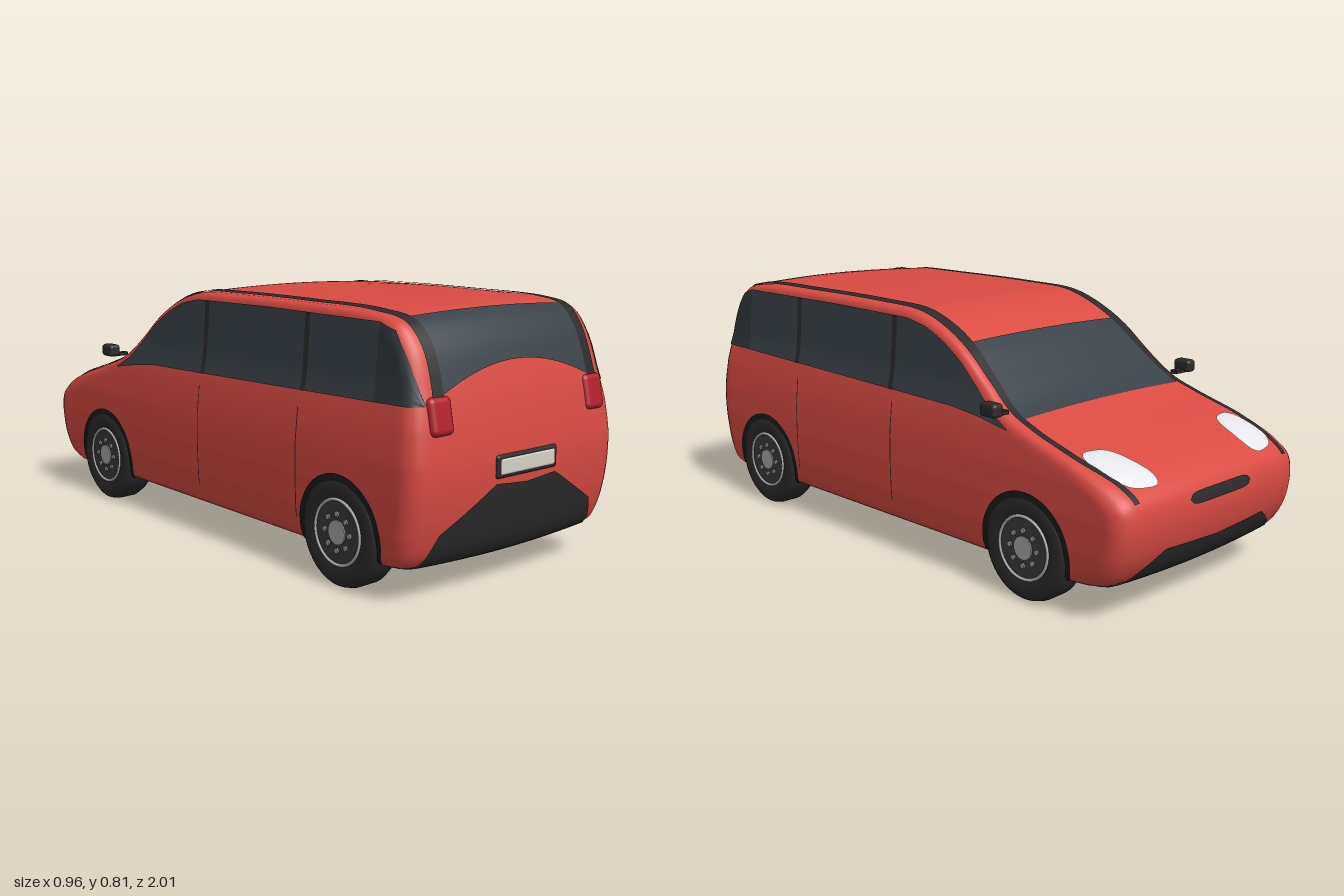
import * as THREE from 'three';
import { RoundedBoxGeometry } from 'three/addons/geometries/RoundedBoxGeometry.js';

const RED = 0xd94b42, BLACK = 0x2b2b2b, FLOOR = 0x1c1c1c, GLASS = 0x3a4249;
const { clamp, smoothstep, lerp } = THREE.MathUtils;

// Piecewise linear lookup in [key, value] pairs
function tab(pairs, k) {
  for (let i = 1; i < pairs.length; i++) {
    const [a, b] = [pairs[i - 1], pairs[i]];
    if (k <= b[0]) return lerp(a[1], b[1], clamp((k - a[0]) / (b[0] - a[0]), 0, 1));
  }
  return pairs[pairs.length - 1][1];
}

// Closed side outline (z, y): under the nose, hood, windscreen, roof, tail, floor
const OUTLINE = [
  [-.86, .09], [-.93, .115], [-.98, .19], [-1, .29], [-.985, .365], [-.93, .41], [-.8, .46],
  [-.62, .515], [-.52, .555], [-.42, .63], [-.32, .71], [-.22, .765], [-.1, .803], [.1, .812],
  [.45, .813], [.75, .807], [.86, .785], [.92, .72], [.965, .6], [.99, .48], [1, .36],
  [.985, .22], [.95, .12], [.91, .09], [.5, .09], [.1, .09], [-.3, .09], [-.6, .09]];
const N = OUTLINE.length;
const outline = new THREE.CatmullRomCurve3(OUTLINE.map(([z, y]) => new THREE.Vector3(0, y, z)), true);
const NOSE = 3, TAIL = 20, TAIL_BOTTOM = 23;

// Half width by height, and radius of the long edges
const WIDTH = [[.09, .41], [.12, .42], [.2, .428], [.3, .431], [.4, .43], [.5, .42], [.55, .41],
  [.6, .40], [.7, .392], [.81, .385]];
const halfWidth = y => tab(WIDTH, y);
const edgeRadius = z => .025 + .035 * smoothstep(Math.abs(z), .75, 1);

// Point on the crowned wrap-around skin; i in outline points, u from -1 to 1 across
function band(i, u, off = 0) {
  const t = (((i / N) % 1) + 1) % 1;
  const p = outline.getPoint(t), d = outline.getTangent(t);
  const n = new THREE.Vector3(0, d.z, -d.y);
  p.addScaledVector(n, off - .012 * u * u);
  p.x = u * (halfWidth(p.y) - edgeRadius(p.z));
  return p;
}

// Outline position between a and b where a coordinate takes a value
function find(axis, value, a, b) {
  const rising = outline.getPoint(b / N)[axis] > outline.getPoint(a / N)[axis];
  for (let k = 0; k < 24; k++) {
    const m = (a + b) / 2;
    if ((outline.getPoint(m / N)[axis] < value) === rising) a = m; else b = m;
  }
  return a;
}
const atZ = z => find('z', z, NOSE, TAIL);
const atTailY = y => find('y', y, 15, TAIL_BOTTOM);

// Point on the flank, rounded off towards the outline
const LOOP = N * 12;
const rim = Array.from({ length: LOOP }, (_, i) => band(i / 12, 1));
function flank(z, y, s, off = 0) {
  let d = Infinity;
  for (const p of rim) d = Math.min(d, Math.hypot(p.z - z, p.y - y));
  const r = edgeRadius(z), k = 1 - Math.min(d / r, 1);
  return new THREE.Vector3(s * (halfWidth(y) - r + r * Math.sqrt(1 - k * k) + off), y, z);
}

function mesh(parent, name, geometry, color, side = THREE.FrontSide) {
  const m = new THREE.Mesh(geometry, new THREE.MeshStandardMaterial({ color, side }));
  m.name = name;
  parent.add(m);
  return m;
}

// Smooth sheet from a rule fn(u, v) with u, v in 0..1
function sheet(parent, name, nu, nv, color, fn) {
  const pos = [], idx = [];
  for (let j = 0; j <= nv; j++) for (let i = 0; i <= nu; i++) {
    pos.push(...fn(i / nu, j / nv).toArray());
    if (i < nu && j < nv) {
      const a = j * (nu + 1) + i, b = a + nu + 1;
      idx.push(a, a + 1, b, b, a + 1, b + 1);
    }
  }
  const g = new THREE.BufferGeometry();
  g.setAttribute('position', new THREE.Float32BufferAttribute(pos, 3));
  g.setIndex(idx);
  g.computeVertexNormals();
  return mesh(parent, name, g, color, THREE.DoubleSide);
}

function buildBody(g) {
  // Shell: flank rings from the spine to the edge, across the top, down the other flank
  const steps = [.004, .012, .025, .045, .065], inner = 9, across = 16;
  const rings = steps.length + inner, total = 2 * rings + across;
  const flankPoint = (j, k, s) => {
    const p = rim[j % LOOP];
    const tz = clamp(p.z, -.72, .72), ty = .3;
    const len = Math.hypot(p.z - tz, p.y - ty), last = steps[4] / len;
    const f = k <= 5 ? steps[k - 1] / len : last + (1 - last) * (k - 5) / inner;
    return flank(lerp(p.z, tz, f), lerp(p.y, ty, f), s);
  };
  sheet(g, 'bodyShell', total, LOOP, RED, (u, v) => {
    const i = Math.round(u * total), j = Math.round(v * LOOP);
    if (i < rings) return flankPoint(j, rings - i, -1);
    if (i > rings + across) return flankPoint(j, i - rings - across, 1);
    return band(j / 12, (i - rings) / across * 2 - 1);
  });

  // Dark underside with raised front and rear skirts
  sheet(g, 'floor', 8, 60, FLOOR, (u, v) => band(lerp(22.7, N + .3, v), u * 2 - 1, .003));
  const rearTop = [[0, .31], [.13, .32], [.34, .2], [.385, .1]];
  sheet(g, 'rearSkirt', 48, 12, BLACK, (u, v) => {
    const x = (u * 2 - 1) * .385;
    return band(lerp(TAIL_BOTTOM, atTailY(tab(rearTop, Math.abs(x))), v), x / .385, .004);
  });
  const frontTop = [[0, .2], [.25, .21], [.34, .15], [.385, .1]];
  sheet(g, 'frontSkirt', 48, 10, BLACK, (u, v) => {
    const x = (u * 2 - 1) * .385;
    return band(lerp(0, find('y', tab(frontTop, Math.abs(x)), 0, NOSE), v), x / .385, .004);
  });
  sheet(g, 'grilleSlot', 24, 4, BLACK, (u, v) => {
    const h = .018 * Math.pow(1 - Math.pow(Math.abs(u * 2 - 1), 8), .5);
    return band(find('y', .335 + (v * 2 - 1) * h, 2, 5), (u * 2 - 1) * .4, .004);
  });

  // Windscreen and rear window
  const w0 = atZ(-.56), w1 = atZ(-.3);
  sheet(g, 'windscreen', 16, 24, GLASS, (u, v) => band(lerp(w0, w1, v), (u * 2 - 1) * .94, .003));
  const r0 = atZ(.84);
  sheet(g, 'rearWindow', 24, 20, GLASS, (u, v) => {
    const x = u * 2 - 1;
    return band(lerp(r0, atTailY(.655 - .07 * x * x), v), x * .9, .003);
  });

  for (const s of [1, -1]) {
    // Black trim from nose corner over the roof edge to the tail light
    const t0 = find('y', .37, NOSE, 6), t1 = atTailY(.56);
    sheet(g, 'roofTrim', 3, 130, BLACK, (u, v) => {
      const i = lerp(t0, t1, v), wide = lerp(.945, .885, smoothstep(i, 7, 11));
      return band(i, s * lerp(wide, 1, u), .004);
    });

    // Side glass, pillars and door seams
    const top = [[-.54, .505], [-.47, .54], [-.4, .60], [-.32, .67], [-.24, .72], [-.16, .755],
      [-.07, .773], [.3, .778], [.8, .775], [.86, .755], [.91, .68], [.962, .565]];
    const low = [[-.54, .5], [-.42, .52], [-.3, .532], [.3, .545], [.962, .56]];
    const pane = (name, a, b, n, color, off) => sheet(g, name, n, 10, color, (u, v) => {
      const z = lerp(a, b, u);
      return flank(z, lerp(tab(low, z), tab(top, z), v), s, off);
    });
    pane('sideWindow', -.54, .8, 56, GLASS, .004);
    pane('quarterWindow', .8, .962, 14, 0x30373c, .004);
    for (const z of [-.01, .5]) {
      pane('windowPillar', z - .011, z + .011, 2, BLACK, .006);
      sheet(g, 'doorSeam', 1, 12, BLACK, (u, v) => flank(z - .012 + .004 * (u - .5), lerp(.17, .5, v), s, .002));
    }

    // Headlight: domed rounded square on the hood
    sheet(g, 'headlight', 40, 8, 0xe6e6ea, (u, v) => {
      const a = u * Math.PI * 2, c = Math.cos(a), n = Math.sin(a);
      const k = v / Math.pow(Math.abs(c) ** 3.2 + Math.abs(n) ** 3.2, 1 / 3.2);
      const x = .3 + k * c * (.068 - .01 * n), z = -.862 + k * n * .092 + k * c * .012;
      return band(atZ(z), s * x / .385, .003 + .012 * (1 - v * v));
    });

    // Tail light
    const tail = mesh(g, 'tailLight', new RoundedBoxGeometry(.085, .108, .05, 4, .018), 0xb3202a);
    tail.position.set(s * .323, .528, .958);
    tail.rotation.x = -.2;

    // Wing mirror
    const mirror = new THREE.Group();
    mirror.name = 'wingMirror';
    mesh(mirror, 'mirrorHousing', new RoundedBoxGeometry(.042, .042, .065, 3, .012), BLACK).position.set(s * .461, .566, -.515);
    mesh(mirror, 'mirrorArm', new THREE.BoxGeometry(.06, .012, .025), BLACK).position.set(s * .43, .55, -.515);
    g.add(mirror);
  }

  // Number plate holder
  mesh(g, 'plateFrame', new RoundedBoxGeometry(.256, .068, .02, 3, .009), BLACK).position.set(0, .367, .996);
  mesh(g, 'plate', new RoundedBoxGeometry(.236, .052, .02, 3, .009), 0xd6d2c6).position.set(0, .367, .998);
}

function buildWheel(z, s) {
  const wheel = new THREE.Group();
  wheel.name = 'wheel';
  const tyre = [[.104, 0], [.152, 0], [.164, .025], [.165, .08], [.16, .097], [.148, .106], [.12, .108], [.1, .103]];
  const lathe = new THREE.LatheGeometry(tyre.map(p => new THREE.Vector2(...p)), 48);
  mesh(wheel, 'tyre', lathe, BLACK, THREE.DoubleSide);
  const disc = (name, r, y0, y1, color) =>
    mesh(wheel, name, new THREE.CylinderGeometry(r, r, y1 - y0, 32), color).position.y = (y0 + y1) / 2;
  disc('rimBarrel', .104, .004, .09, 0x8a8a8a);
  disc('rimFace', .1, .09, .104, 0x3a3a3a);
  disc('hub', .036, .1, .108, 0xa8a8a8);
  const lip = mesh(wheel, 'rimLip', new THREE.TorusGeometry(.096, .005, 8, 48), 0xb0b0b0);
  lip.rotation.x = Math.PI / 2;
  lip.position.y = .104;
  for (let k = 0; k < 8; k++) {
    const a = k * Math.PI / 4;
    const bolt = mesh(wheel, 'wheelBolt', new THREE.CylinderGeometry(.008, .008, .008, 10), 0xa0a0a0);
    bolt.position.set(.054 * Math.cos(a), .105, .054 * Math.sin(a));
  }
  wheel.rotation.z = -s * Math.PI / 2;
  wheel.position.set(s * .329, .165, z);
  return wheel;
}

export function createModel() {
  const model = new THREE.Group();
  model.name = 'van';
  const body = new THREE.Group();
  body.name = 'body';
  model.add(body);
  buildBody(body);
  for (const z of [-.62, .68]) for (const s of [1, -1]) {
    model.add(buildWheel(z, s));
    // Dark wheel arch lying on the flank
    sheet(body, 'wheelArch', 48, 4, FLOOR, (u, v) => {
      const a = u * Math.PI * 2, r = lerp(.13, .176, v);
      return flank(z + r * Math.cos(a), Math.max(.105, .16 + r * Math.sin(a)), s, .003);
    });
  }
  return model;
}
